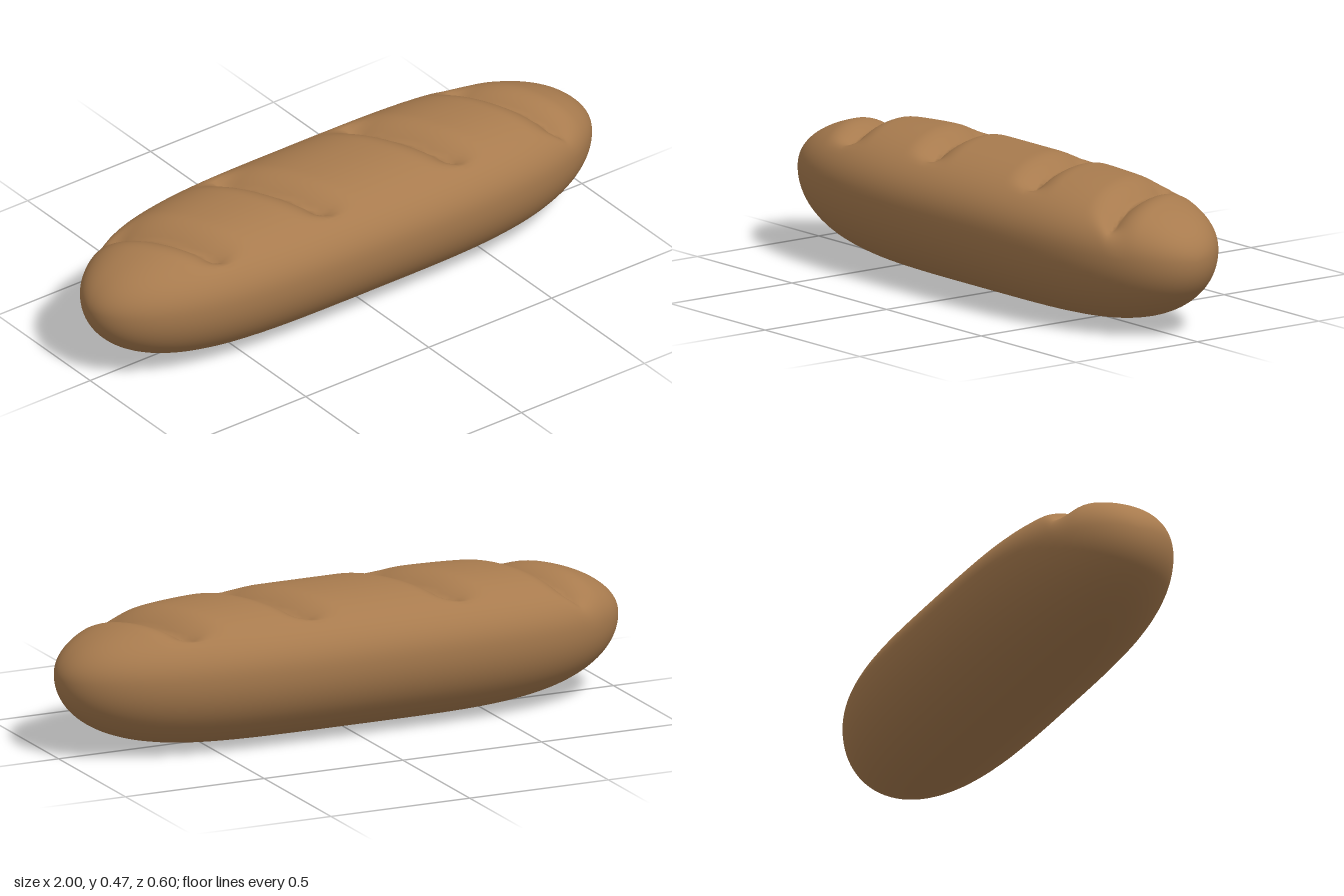
import * as THREE from 'three';

const RINGS = 180, SIDES = 72;
// x position of each diagonal score where it crosses the middle of the loaf
const SCORES = [-0.69, -0.26, 0.27, 0.69];
const SLANT = 0.46;

// Depth of the scores cut into the top crust at a point seen from above
function scoreDepth(x, z) {
  const fade = 1 - THREE.MathUtils.smoothstep(Math.abs(z), 0.15, 0.225);
  let depth = 0;
  for (const s of SCORES) {
    const d = Math.abs(x - s - SLANT * z);
    depth = Math.max(depth, 0.052 * Math.max(0, 1 - d / 0.12) ** 2);
  }
  return depth * fade;
}

// Loaf surface: rounded sections that swell along x and taper at both ends
function crustPoint(u, a) {
  const x = Math.sin((u - 0.5) * Math.PI), ax = Math.min(1, Math.abs(x));
  const halfWidth = 0.3 * Math.sqrt(1 - ax ** 3.4);
  const swell = Math.sqrt(1 - ax ** 4.5);
  const mid = 0.28 - 0.015 * ax ** 4;
  const c = Math.cos(a), s = Math.sin(a);
  // The top is slightly squarer than the belly
  const p = s > 0 ? 0.92 : 1;
  const z = halfWidth * Math.sign(c) * Math.abs(c) ** p;
  let y = mid + swell * (s > 0 ? 0.195 * s ** p : (mid * s));
  if (s > 0) y -= scoreDepth(x, z) * Math.min(1, swell * 1.2);
  return [x, y, z];
}

function crustGeometry() {
  const pos = [], index = [];
  for (let i = 0; i <= RINGS; i++) {
    for (let j = 0; j < SIDES; j++) {
      pos.push(...crustPoint(i / RINGS, (j / SIDES) * Math.PI * 2));
      if (i === RINGS) continue;
      const k = (j + 1) % SIDES;
      const a = i * SIDES + j, b = i * SIDES + k;
      index.push(a, a + SIDES, b, b, a + SIDES, b + SIDES);
    }
  }
  const g = new THREE.BufferGeometry();
  g.setAttribute('position', new THREE.Float32BufferAttribute(pos, 3));
  g.setIndex(index);
  g.computeVertexNormals();
  return g;
}

export function createModel() {
  const group = new THREE.Group();
  group.name = 'breadLoaf';
  const crust = new THREE.MeshStandardMaterial({ color: 0xa87b4e });
  crust.name = 'crust brown';
  const loaf = new THREE.Mesh(crustGeometry(), crust);
  loaf.name = 'loaf';
  group.add(loaf);
  return group;
}
